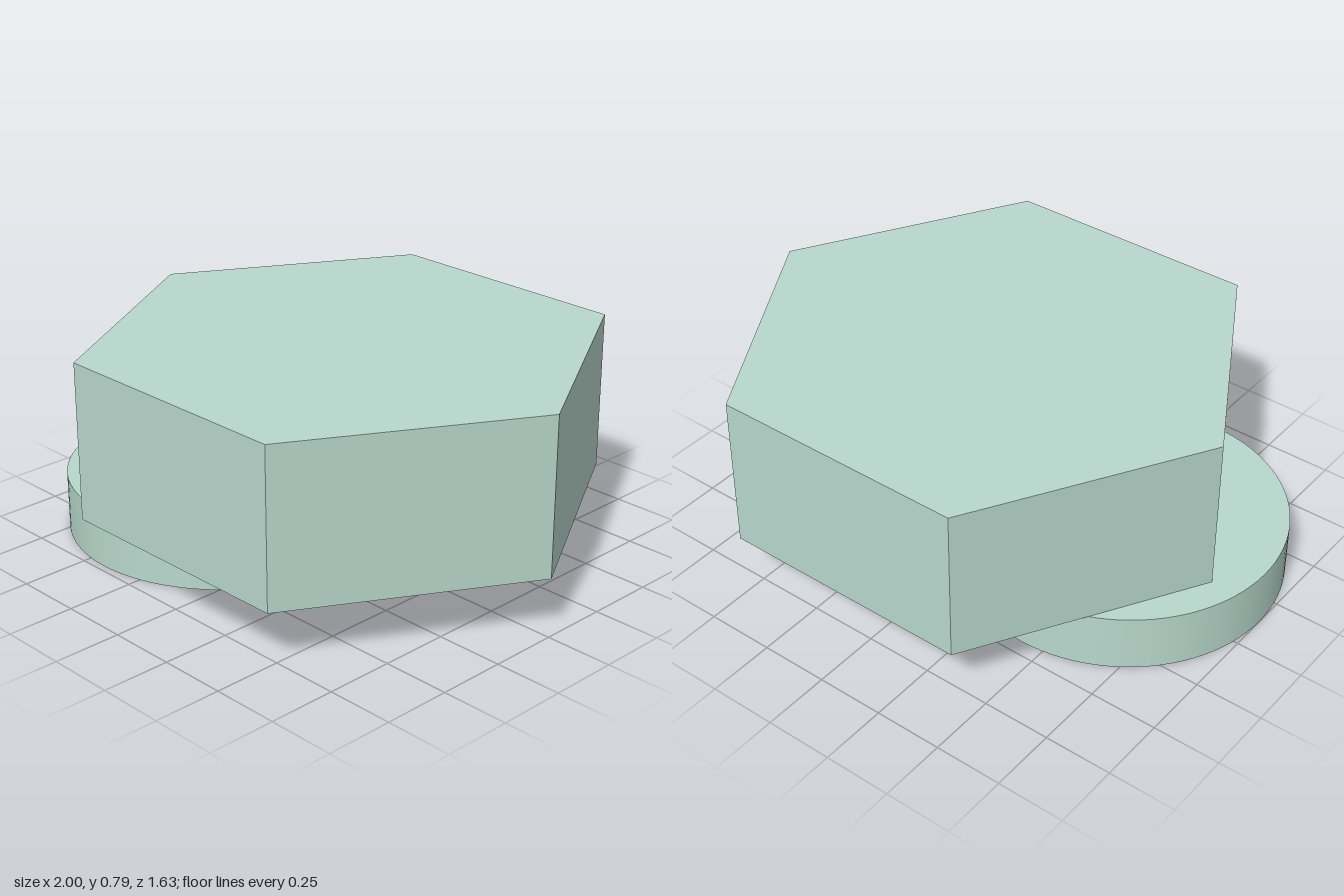
import * as THREE from 'three';

// Upright prism or disc standing between two heights
function upright(name, radius, bottom, top, x, z, sides, flatShading) {
  const geometry = new THREE.CylinderGeometry(radius, radius, top - bottom, sides, 1, false, Math.PI / 2);
  const material = new THREE.MeshStandardMaterial({ color: 0xb8d8cc, flatShading });
  const mesh = new THREE.Mesh(geometry, material);
  mesh.name = name;
  mesh.position.set(x, (bottom + top) / 2, z);
  return mesh;
}

export function createModel() {
  const model = new THREE.Group();
  model.name = 'hexagonalBlockOnDisc';
  const discTop = 0.215;

  // Round disc, offset towards one corner of the block
  model.add(upright('baseDisc', 0.585, 0, discTop, -0.415, 0.14, 96, false));

  // Hexagonal block with corners on the x axis
  model.add(upright('hexagonalBlock', 0.94, discTop, 0.793, 0.06, 0, 6, true));

  return model;
}
